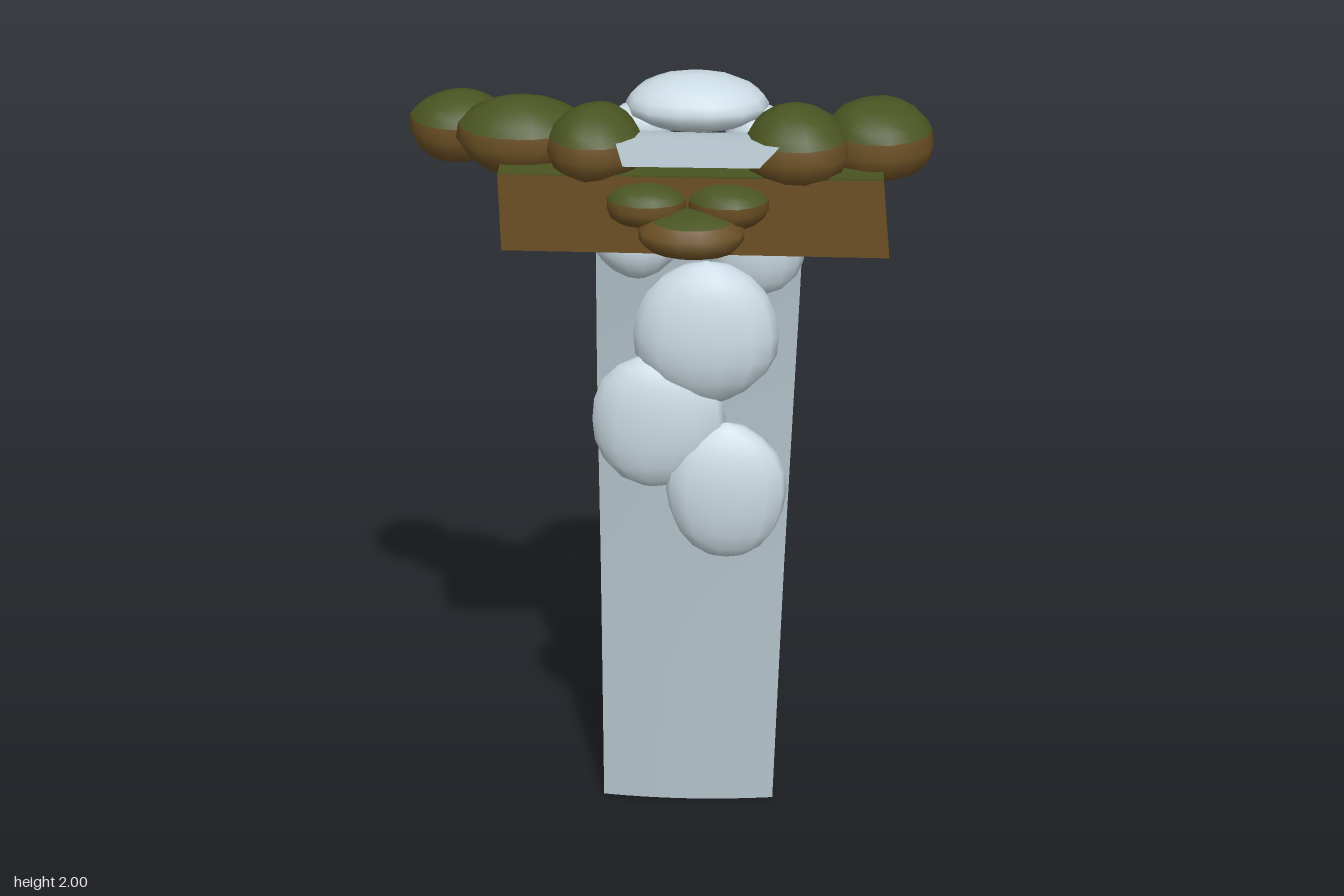
import * as THREE from 'three';

const mat = (name, color, extra = {}) =>
  Object.assign(new THREE.MeshStandardMaterial({ color, ...extra }), { name });

export function createModel() {
  const model = new THREE.Group();
  model.name = 'waterfall';
  const rock = mat('brown rock', 0x6b4f24);
  const moss = mat('dark moss', 0x4a5421);
  const foam = mat('pale foam', 0xcbdbe3);
  const water = mat('grey blue water', 0xb5c5cd, { side: THREE.DoubleSide });

  const add = (name, geometry, material) => {
    const mesh = new THREE.Mesh(geometry, material);
    mesh.name = name;
    model.add(mesh);
    return mesh;
  };

  // Gentle rule that makes a round blob lumpy
  const lump = (x, y, z, seed) =>
    1 + 0.035 * Math.sin(4 * x + seed * 1.7) * Math.cos(3 * z - seed) + 0.02 * Math.sin(5 * y + seed);

  // Dome between two polar angles, lumpy, with an optional flattened base
  const blob = ([x, y, z, rx, ry, rz], seed, from, to, floor = -2) => {
    const g = new THREE.SphereGeometry(1, 14, from === 0 && to === Math.PI ? 10 : 5, 0, Math.PI * 2, from, to - from);
    const p = g.attributes.position;
    for (let i = 0; i < p.count; i++) {
      const a = p.getX(i), b = p.getY(i), c = p.getZ(i), k = lump(a, b, c, seed);
      p.setXYZ(i, x + a * k * rx, y + Math.max(b * k, floor) * ry, z + c * k * rz);
    }
    g.computeVertexNormals();
    return g;
  };

  // Bank rocks and spout rocks: brown body with a mossy top
  const rocks = [
    [-0.49, 1.865, -0.15, 0.115, 0.085, 0.108],
    [-0.335, 1.88, -0.05, 0.155, 0.093, 0.117],
    [-0.165, 1.885, 0.02, 0.112, 0.093, 0.122],
    [0.29, 1.885, 0.02, 0.125, 0.095, 0.123],
    [0.475, 1.88, -0.05, 0.128, 0.095, 0.125],
    [-0.045, 1.775, 0.095, 0.095, 0.055, 0.085],
    [0.14, 1.775, 0.095, 0.095, 0.055, 0.085],
    [0.06, 1.725, 0.16, 0.12, 0.055, 0.088],
  ];
  rocks.forEach((r, i) => {
    const line = i === 7 ? 0.9 : 1.27;
    add('rockBody' + i, blob(r, i, line, Math.PI, -0.82), rock);
    add('rockMoss' + i, blob(r, i, 0, line), moss);
  });
  add('lipStone', blob([0.07, 1.77, -0.07, 0.06, 0.05, 0.05], 9, 0, Math.PI), rock);

  // Ledge under the rocks, slightly wider at the foot
  const face = new THREE.Shape([[-0.375, 1.66], [0.505, 1.655], [0.487, 1.84], [-0.38, 1.843]]
    .map(([x, y]) => new THREE.Vector2(x, y)));
  const ledge = new THREE.ExtrudeGeometry(face, { depth: 0.1, bevelEnabled: false });
  ledge.translate(0, 0, 0.01);
  add('ledge', ledge, rock);
  const cap = add('ledgeMoss', new THREE.BoxGeometry(0.866, 0.006, 0.099), moss);
  cap.position.set(0.054, 1.842, 0.06);

  // Foam puffs on the crest and down the fall
  [
    [0.06, 1.935, -0.138, 0.168, 0.065, 0.115],
    [0.2, 1.87, -0.13, 0.075, 0.06, 0.07],
    [-0.07, 1.88, -0.13, 0.075, 0.055, 0.06],
    [0.2, 1.62, -0.04, 0.115, 0.12, 0.07],
    [0.18, 1.75, -0.07, 0.09, 0.09, 0.045],
    [-0.075, 1.63, -0.04, 0.1, 0.09, 0.065],
    [0.06, 1.69, -0.05, 0.1, 0.085, 0.06],
    [0.09, 1.43, 0.03, 0.175, 0.172, 0.086],
    [-0.02, 1.21, 0.04, 0.16, 0.17, 0.07],
    [0.14, 1.04, 0.058, 0.147, 0.172, 0.068],
  ].forEach((f, i) => add('foamPuff' + i, blob(f, i + 3, 0, Math.PI), foam));

  // Water sheet cross-sections: y, z, left x, right x, sag in the middle
  const rows = [
    [1.92, 0.255, -0.09, 0.21, 0], [1.92, 0.13, -0.11, 0.25, 0],
    [1.915, 0, -0.13, 0.285, 0.005], [1.88, -0.085, -0.155, 0.31, 0.03],
    [1.8, -0.115, -0.165, 0.312, 0.025], [1.7, -0.138, -0.175, 0.311, 0.01],
    [1.5, -0.165, -0.178, 0.307, 0], [1.2, -0.195, -0.18, 0.297, 0],
    [0.7, -0.226, -0.178, 0.28, 0], [0, -0.25, -0.177, 0.26, 0],
  ];
  const path = new THREE.CatmullRomCurve3(rows.map(r => new THREE.Vector3(0, r[0], r[1])));
  const edge = new THREE.CatmullRomCurve3(rows.map(r => new THREE.Vector3(r[2], r[3], r[4])));
  const sheet = new THREE.PlaneGeometry(1, 1, 8, 36);
  const p = sheet.attributes.position;
  for (let i = 0; i < p.count; i++) {
    const u = p.getX(i) + 0.5, v = Math.min(1, Math.max(0, 0.5 - p.getY(i)));
    const c = path.getPoint(v), e = edge.getPoint(v);
    const mid = 1 - (2 * u - 1) ** 2;
    const bow = 0.015 * mid * Math.min(1, Math.max(0, (v - 0.3) * 3));
    p.setXYZ(i, e.x + (e.y - e.x) * u, c.y - e.z * mid, c.z + bow);
  }
  sheet.computeVertexNormals();
  add('waterSheet', sheet, water);

  return model;
}
